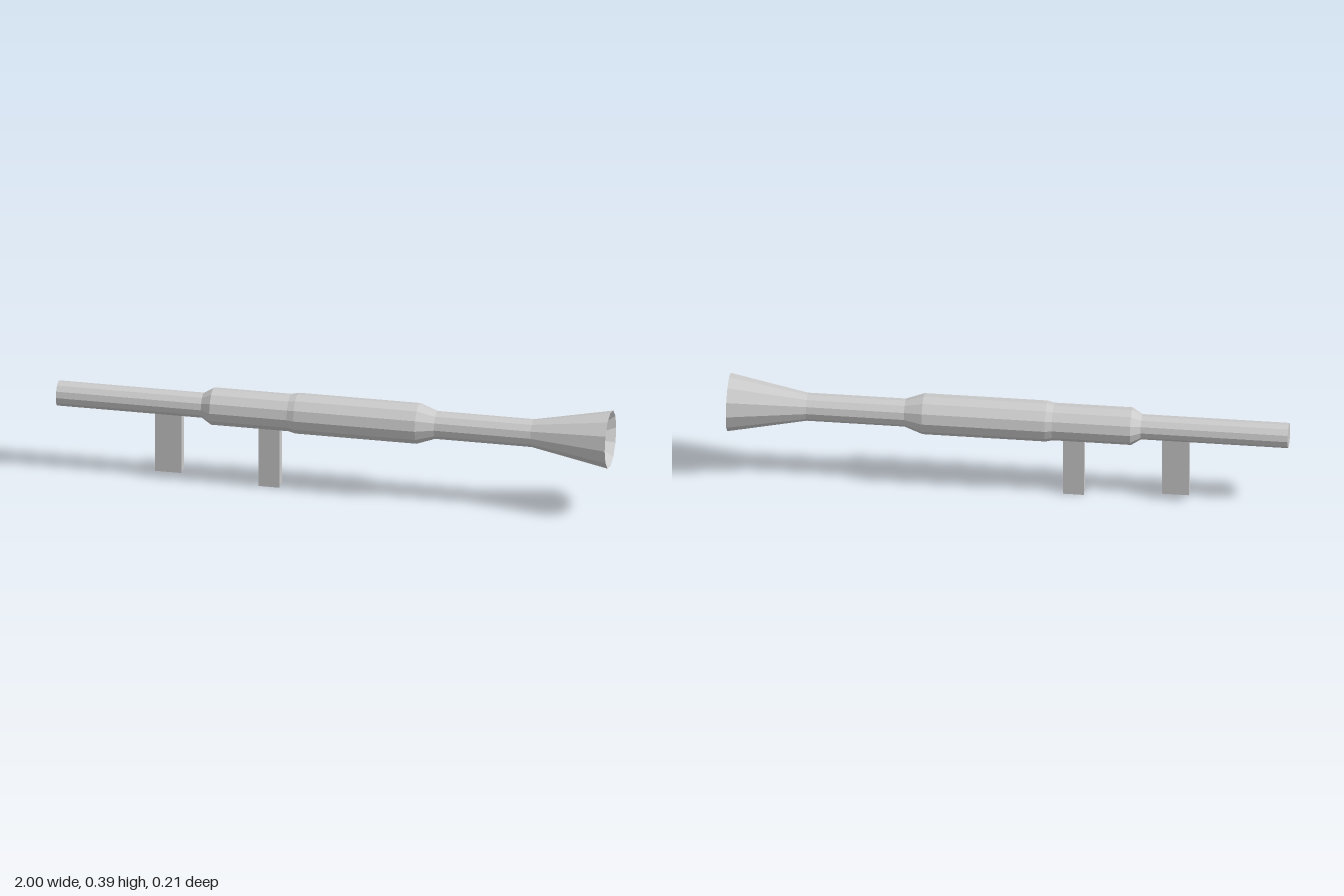
import * as THREE from 'three';

const AXIS_Y = 0.287;

export function createModel() {
  const group = new THREE.Group();
  const material = new THREE.MeshStandardMaterial({ color: 0xcccccc, flatShading: true });

  function add(name, geometry, x, y) {
    const flat = geometry.toNonIndexed();
    flat.computeVertexNormals();
    const mesh = new THREE.Mesh(flat, material);
    mesh.name = name;
    mesh.position.set(x, y, 0);
    group.add(mesh);
  }

  // Twelve-sided tube as [radius, x]: closed end, stepped sleeve, flare, shallow recess
  const profile = [
    [0, -1], [0.045, -1], [0.045, -0.475],
    [0.067, -0.44], [0.067, -0.16], [0.073, -0.135], [0.073, 0.305],
    [0.05, 0.37], [0.05, 0.72], [0.104, 1],
    [0.054, 0.95], [0, 0.95],
  ].map(([r, x]) => new THREE.Vector2(r, x));
  add('tube', new THREE.LatheGeometry(profile, 12).rotateZ(-Math.PI / 2), 0, AXIS_Y);

  // Two block grips, sunk slightly into the tube
  const grips = [
    ['foreGrip', -0.645, -0.55, 0.025],
    ['rearGrip', -0.27, -0.195, 0],
  ];
  for (const [name, x0, x1, bottom] of grips) {
    const height = 0.26 - bottom;
    add(name, new THREE.BoxGeometry(x1 - x0, height, 0.045), (x0 + x1) / 2, bottom + height / 2);
  }

  return group;
}
